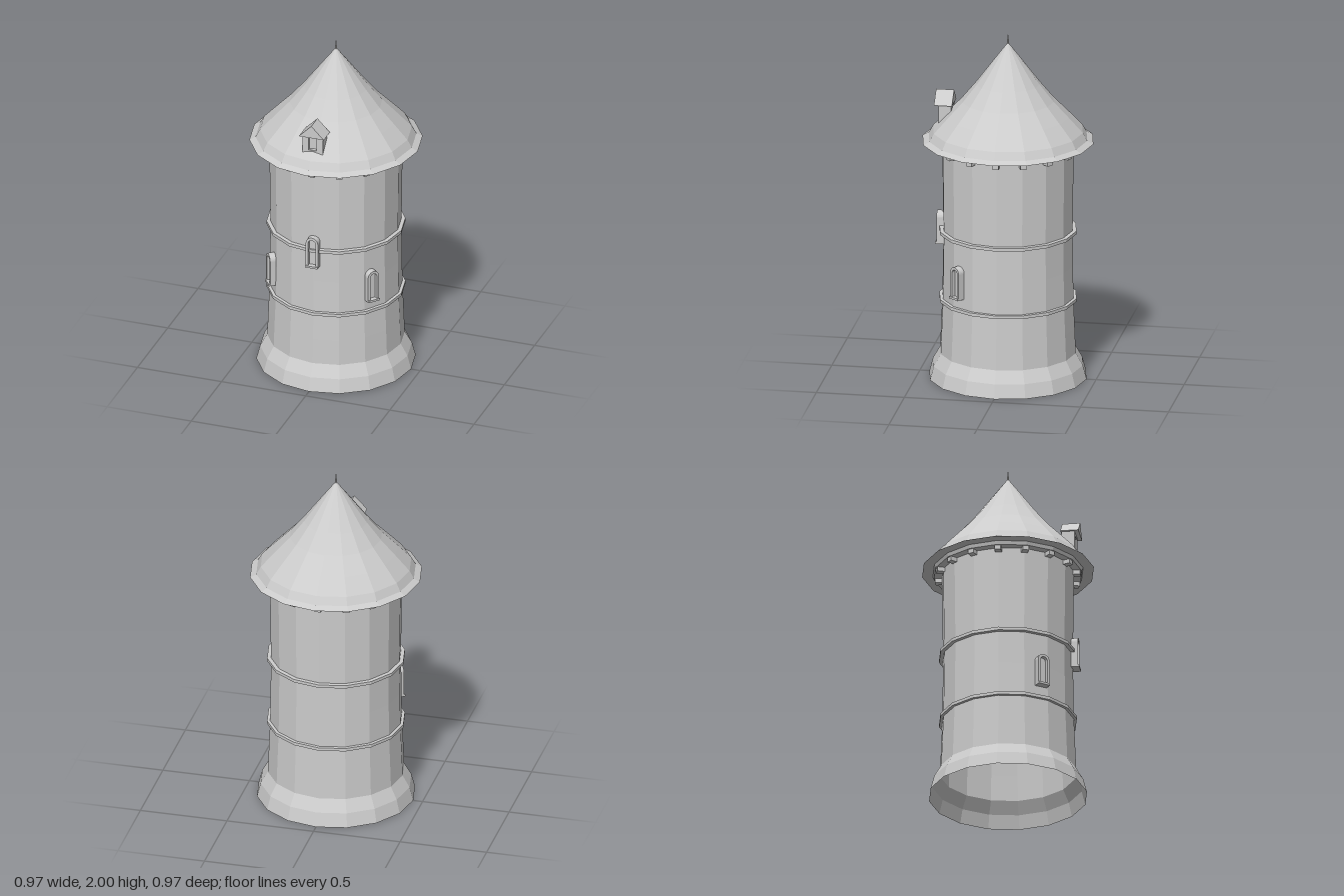
import * as THREE from 'three';

const SIDES = 16;
const mat = new THREE.MeshStandardMaterial({ color: 0xcccccc, flatShading: true, side: THREE.DoubleSide });

function add(parent, name, geometry, x = 0, y = 0, z = 0) {
  const mesh = new THREE.Mesh(geometry, mat);
  mesh.name = name;
  mesh.position.set(x, y, z);
  parent.add(mesh);
  return mesh;
}

// Faceted solid of revolution from [radius, height] pairs
const lathe = (points) => new THREE.LatheGeometry(points.map(([r, y]) => new THREE.Vector2(r, y)), SIDES);

// Round-topped outline, standing on y = bottom
function arch(path, halfWidth, bottom, springY) {
  path.moveTo(-halfWidth, bottom);
  path.lineTo(halfWidth, bottom);
  path.lineTo(halfWidth, springY);
  path.absarc(0, springY, halfWidth, 0, Math.PI, false);
  path.closePath();
  return path;
}

// Arched window set into the wall at a given angle around the tower
function addWindow(parent, name, angle, y) {
  const group = new THREE.Group();
  group.name = name;
  const shape = arch(new THREE.Shape(), 0.036, 0, 0.152);
  shape.holes.push(arch(new THREE.Path(), 0.022, 0.012, 0.15));
  const frame = new THREE.ExtrudeGeometry(shape, { depth: 0.05, bevelEnabled: false, curveSegments: 8 });
  add(group, 'windowFrame', frame, 0, 0, 0.35);
  const pane = new THREE.ShapeGeometry(arch(new THREE.Shape(), 0.023, 0.01, 0.15), 8);
  add(group, 'windowPane', pane, 0, 0, 0.378);
  add(group, 'windowSill', new THREE.BoxGeometry(0.072, 0.012, 0.055), 0, 0.006, 0.38);
  group.position.y = y;
  group.rotation.y = angle;
  parent.add(group);
}

function addDormer(parent) {
  const dormer = new THREE.Group();
  dormer.name = 'dormer';
  // Walls with a rectangular opening
  const wall = new THREE.Shape();
  wall.moveTo(-0.06, 1.46);
  wall.lineTo(0.06, 1.46);
  wall.lineTo(0.06, 1.59);
  wall.lineTo(-0.06, 1.59);
  wall.closePath();
  const opening = new THREE.Path();
  opening.moveTo(-0.024, 1.495);
  opening.lineTo(-0.024, 1.572);
  opening.lineTo(0.024, 1.572);
  opening.lineTo(0.024, 1.495);
  opening.closePath();
  wall.holes.push(opening);
  add(dormer, 'dormerWalls', new THREE.ExtrudeGeometry(wall, { depth: 0.073, bevelEnabled: false }), 0, 0, 0.312);
  add(dormer, 'dormerPane', new THREE.PlaneGeometry(0.05, 0.08), 0, 1.533, 0.372);
  // Gabled roof
  const gable = new THREE.Shape();
  gable.moveTo(-0.074, 1.585);
  gable.lineTo(0.074, 1.585);
  gable.lineTo(0, 1.66);
  gable.closePath();
  add(dormer, 'dormerRoof', new THREE.ExtrudeGeometry(gable, { depth: 0.102, bevelEnabled: false }), 0, 0, 0.306);
  parent.add(dormer);
}

export function createModel() {
  const tower = new THREE.Group();
  tower.name = 'tower';

  // Hollow wall with flared foot
  add(tower, 'wall', lathe([
    [0.446, 0], [0.425, 0.08], [0.385, 0.15], [0.379, 0.3], [0.372, 0.46],
    [0.369, 0.66], [0.367, 0.86], [0.37, 1.1], [0.373, 1.37],
  ]));

  // Raised bands
  for (const y of [0.463, 0.86]) {
    add(tower, 'band', lathe([
      [0.36, y - 0.01], [0.389, y - 0.01], [0.389, y + 0.008], [0.36, y + 0.01],
    ]));
  }

  // Corbels below the eaves
  for (let i = 0; i < SIDES; i++) {
    const a = (i / SIDES) * Math.PI * 2;
    const r = 0.385;
    add(tower, 'corbel', new THREE.BoxGeometry(0.036, 0.03, 0.05), r * Math.sin(a), 1.353, r * Math.cos(a)).rotation.y = a;
  }
  add(tower, 'cornice', lathe([[0.36, 1.363], [0.418, 1.363], [0.425, 1.386], [0.36, 1.386]]));

  // Bell-curved roof with its underside
  add(tower, 'roof', lathe([
    [0.365, 1.384], [0.485, 1.384], [0.45, 1.402], [0.425, 1.447], [0.345, 1.532],
    [0.26, 1.62], [0.18, 1.718], [0.115, 1.805], [0.065, 1.872], [0.03, 1.918], [0.006, 1.95],
  ]));
  add(tower, 'spire', new THREE.CylinderGeometry(0.003, 0.006, 0.06, 8), 0, 1.97, 0);

  addDormer(tower);

  addWindow(tower, 'frontWindow', 0, 0.76);
  for (const side of [-1, 1]) {
    addWindow(tower, side > 0 ? 'leftWindow' : 'rightWindow', side * 0.9, 0.53);
  }
  return tower;
}
